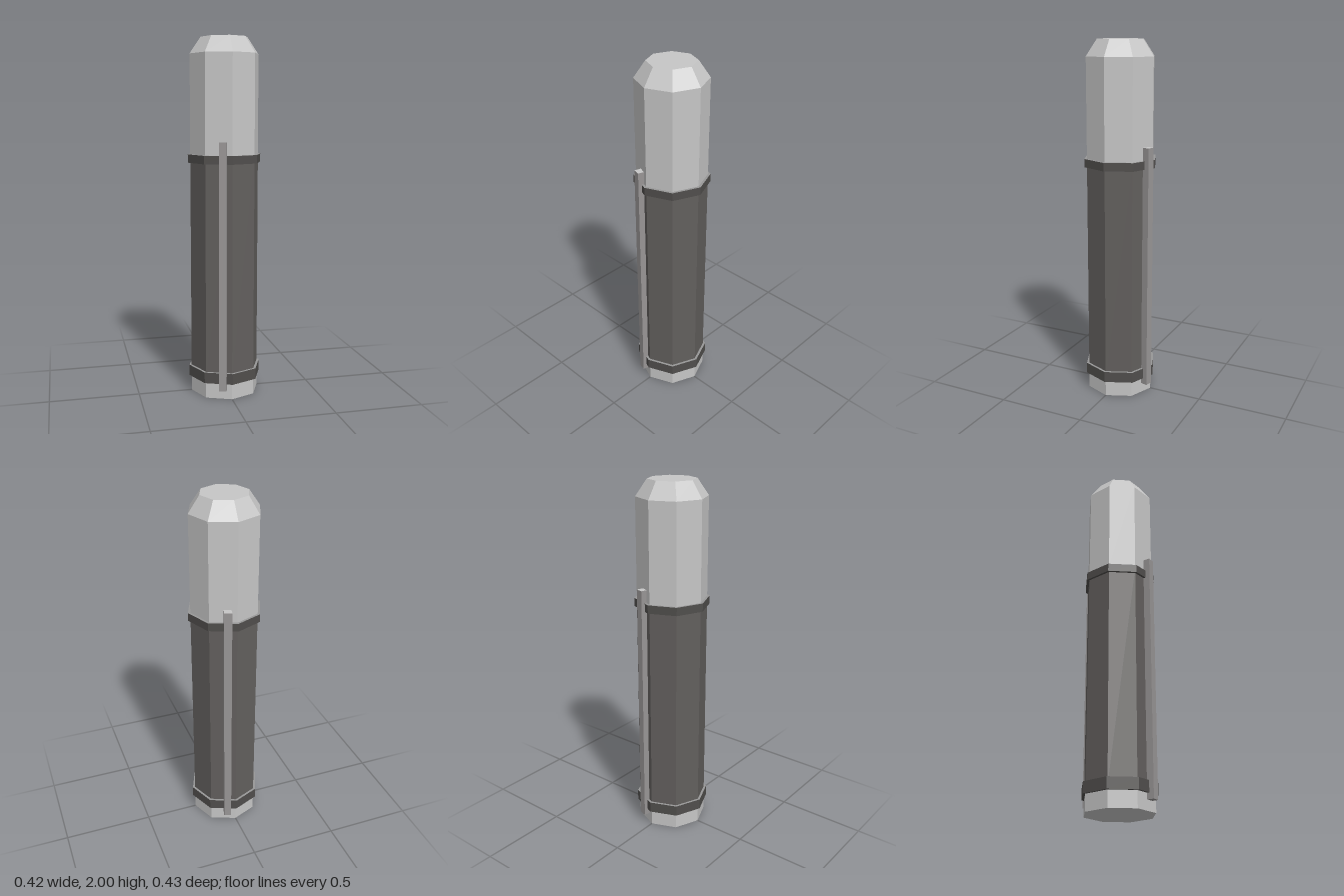
import * as THREE from 'three';

const paint = (name, color) => Object.assign(new THREE.MeshStandardMaterial({ color }), { name });

export function createModel() {
  const model = new THREE.Group();
  model.name = 'canister';

  const lightGrey = paint('light grey', 0xc6c6c6);
  const darkGrey = paint('dark grey', 0x625f5d);
  const bandGrey = paint('band grey', 0x504e4c);
  const bandRim = paint('band rim grey', 0x979797);
  const railGrey = paint('rail grey', 0x989595);

  // Eight-sided section between two heights, with faceted normals
  function section(name, y0, y1, rBottom, rTop, material, openEnded = false) {
    const geometry = new THREE.CylinderGeometry(rTop, rBottom, y1 - y0, 8, 1, openEnded).toNonIndexed();
    geometry.computeVertexNormals();
    const mesh = new THREE.Mesh(geometry, material);
    mesh.name = name;
    mesh.position.y = (y0 + y1) / 2;
    model.add(mesh);
  }

  const R = 0.194;
  section('base', 0, 0.11, R, R, lightGrey);
  section('sleeve', 0.11, 1.35, R, R, darkGrey, true);
  section('upperBody', 1.35, 1.91, R, R, lightGrey, true);
  section('taperedCap', 1.91, 2, R, 0.132, lightGrey);

  // Raised bands: side, top and bottom faces
  const bandFaces = [bandGrey, bandRim, bandGrey];
  section('lowerBand', 0.09, 0.152, 0.208, 0.208, bandFaces);
  section('upperBand', 1.318, 1.364, 0.208, 0.208, bandFaces);

  // Opposite pair of vertical rails, with lighter top ends
  const railFaces = [railGrey, railGrey, lightGrey, railGrey, railGrey, railGrey];
  for (const [name, turn] of [['frontRail', 0], ['backRail', Math.PI]]) {
    const rail = new THREE.Group();
    rail.name = name;
    rail.rotation.y = turn - 0.267;
    const bar = new THREE.Mesh(new THREE.BoxGeometry(0.042, 1.38, 0.044), railFaces);
    bar.name = name + 'Bar';
    bar.position.set(0, 0.746, 0.195);
    rail.add(bar);
    model.add(rail);
  }
  return model;
}
